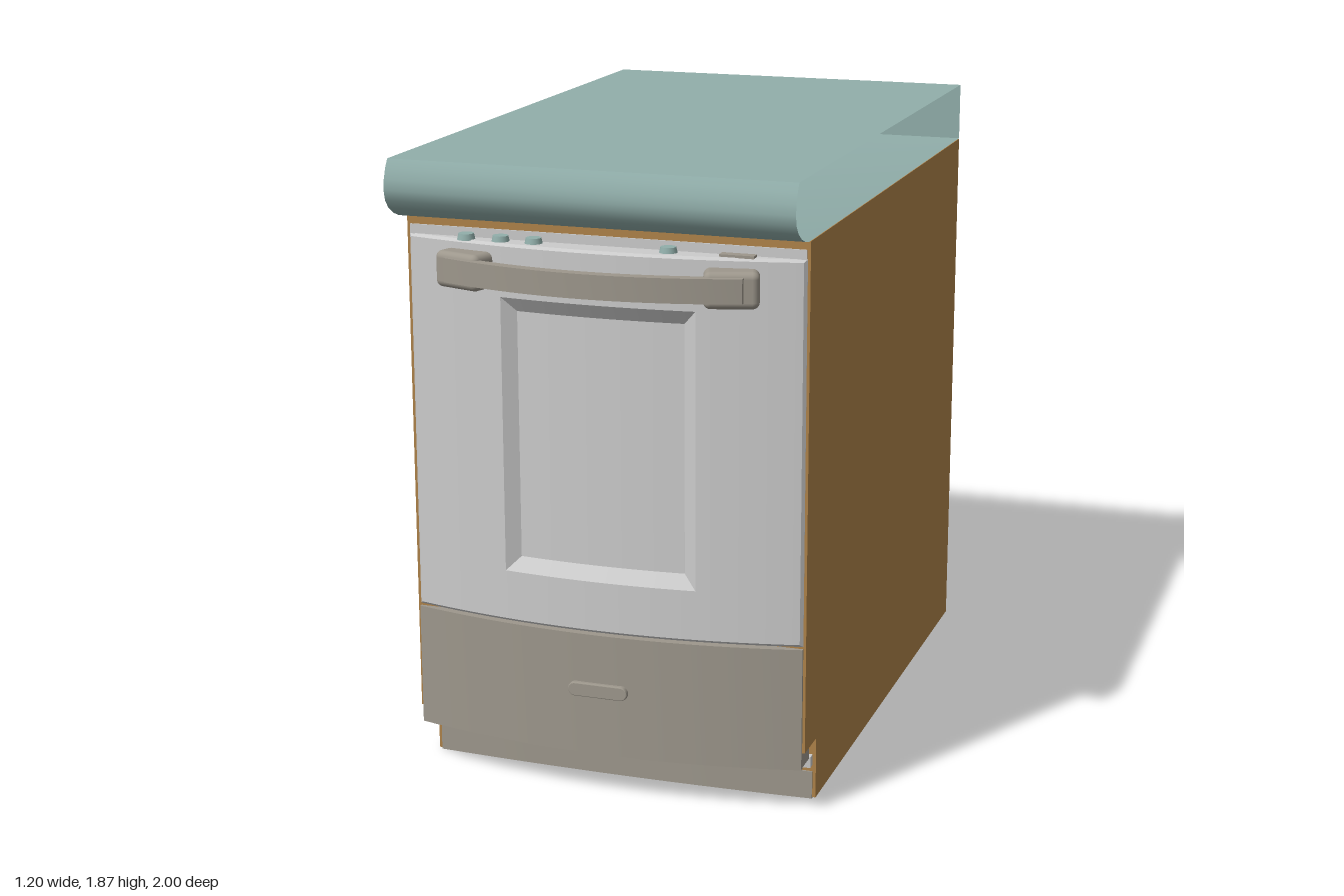
import * as THREE from 'three';
import { toCreasedNormals } from 'three/addons/utils/BufferGeometryUtils.js';
import { RoundedBoxGeometry } from 'three/addons/geometries/RoundedBoxGeometry.js';
import { ParametricGeometry } from 'three/addons/geometries/ParametricGeometry.js';

const paint = (color) => new THREE.MeshStandardMaterial({ color, side: THREE.DoubleSide });
const grey = paint(0xcccccc), steel = paint(0x9d978c), teal = paint(0x91aeaa), wood = paint(0xae8249);

// Bowed front shared by the door and the drawer
const bow = (x) => 0.892 - 0.21 * x * x;

function add(parent, name, geometry, material, x = 0, y = 0, z = 0) {
  const mesh = new THREE.Mesh(geometry, material);
  mesh.name = name;
  mesh.position.set(x, y, z);
  parent.add(mesh);
  return mesh;
}

// Solid standing from y0 to y1 whose front and back follow functions of x
function bowedSolid(halfWidth, y0, y1, front, back) {
  const n = 24, points = [];
  for (let i = 0; i <= n; i++) {
    const x = halfWidth * (2 * i / n - 1);
    points.push(new THREE.Vector2(x, -front(x)));
  }
  for (let i = n; i >= 0; i--) {
    const x = halfWidth * (2 * i / n - 1);
    points.push(new THREE.Vector2(x, -back(x)));
  }
  const geometry = new THREE.ExtrudeGeometry(new THREE.Shape(points), { depth: y1 - y0, bevelEnabled: false });
  geometry.rotateX(-Math.PI / 2).translate(0, y0, 0);
  return toCreasedNormals(geometry, 0.5);
}

// Four-sided ring of sheets between two rectangles {w, y0, y1, z(x)}
function ring(parent, name, a, b, material) {
  const corners = (r) => [[-r.w, r.y0], [r.w, r.y0], [r.w, r.y1], [-r.w, r.y1]];
  const ca = corners(a), cb = corners(b), mix = THREE.MathUtils.lerp;
  for (let k = 0; k < 4; k++) {
    const j = (k + 1) % 4;
    const geometry = new ParametricGeometry((u, v, p) => {
      const ax = mix(ca[k][0], ca[j][0], u), ay = mix(ca[k][1], ca[j][1], u);
      const bx = mix(cb[k][0], cb[j][0], u), by = mix(cb[k][1], cb[j][1], u);
      const x = mix(ax, bx, v);
      const z = mix(a.z(x), b.z(x), v);
      p.set(x, mix(ay, by, v), z);
    }, 20, 8);
    add(parent, name, geometry, material);
  }
}

function makeCabinet() {
  const side = [[-1, 0.003], [0.69, 0.003], [0.69, 0.19], [0.81, 0.19], [0.81, 1.688], [-1, 1.688]];
  const shape = new THREE.Shape(side.map(([z, y]) => new THREE.Vector2(z, y)));
  const geometry = new THREE.ExtrudeGeometry(shape, { depth: 1.2, bevelEnabled: false });
  return geometry.rotateY(-Math.PI / 2).translate(0.6, 0, 0);
}

// Hollow worktop shell, open at both ends, with a rounded nose
function makeWorktop() {
  const profile = [[-1, 1.69], [-1, 1.87], [0.93, 1.87], [0.945, 1.845], [0.956, 1.815], [0.96, 1.785],
    [0.952, 1.755], [0.932, 1.73], [0.9, 1.71], [0.865, 1.697], [0.83, 1.69], [-1, 1.69]];
  const geometry = new THREE.PlaneGeometry(1.2, 1, 1, profile.length - 1);
  const p = geometry.attributes.position;
  for (let i = 0; i < p.count; i++) {
    const [z, y] = profile[Math.floor(i / 2)];
    p.setXYZ(i, -p.getX(i), y, z);
  }
  return toCreasedNormals(geometry, 0.6);
}

function makeDoor() {
  const door = new THREE.Group();
  door.name = 'ovenDoor';
  const y0 = 0.515, y1 = 1.637, r = 0.008;
  const back = { w: 0.592, y0, y1, z: () => 0.805 };
  const rim = { w: 0.592, y0, y1, z: (x) => bow(x) - r };
  const face = { w: 0.592 - r, y0: y0 + r, y1: y1 - r, z: bow };
  const opening = { w: 0.29, y0: 0.67, y1: 1.483, z: bow };
  const recess = (x) => bow(x) - 0.03;
  const pane = { w: 0.25, y0: 0.71, y1: 1.44, z: recess };
  ring(door, 'doorEdge', back, rim, grey);
  ring(door, 'doorRoundedEdge', rim, face, grey);
  ring(door, 'doorFace', face, opening, grey);
  ring(door, 'windowBevel', opening, pane, grey);
  const glass = new ParametricGeometry((u, v, p) => {
    const x = (u - 0.5) * 2 * pane.w;
    p.set(x, THREE.MathUtils.lerp(pane.y0, pane.y1, v), recess(x));
  }, 20, 1);
  add(door, 'windowPane', glass, grey);
  return door;
}

function makeHandle() {
  const handle = new THREE.Group();
  handle.name = 'doorHandle';
  const front = (x) => 1 - 0.4 * x * x;
  add(handle, 'handleBar', bowedSolid(0.44, 1.525, 1.595, front, (x) => front(x) - 0.035), steel);
  for (const s of [-1, 1]) {
    const bracket = new RoundedBoxGeometry(0.155, 0.105, 0.09, 3, 0.02);
    add(handle, 'handleBracket', bracket, steel, s * 0.395, 1.557, 0.876).rotation.y = s * 0.3;
  }
  return handle;
}

// Pill-shaped pull on the drawer
function makePull() {
  const shape = new THREE.Shape();
  shape.absarc(0.07, 0, 0.021, -Math.PI / 2, Math.PI / 2);
  shape.absarc(-0.07, 0, 0.021, Math.PI / 2, Math.PI * 1.5);
  return new THREE.ExtrudeGeometry(shape, {
    depth: 0.015, bevelThickness: 0.004, bevelSize: 0.003, bevelOffset: -0.003, bevelSegments: 2, curveSegments: 10
  });
}

export function createModel() {
  const model = new THREE.Group();
  model.name = 'ovenCabinet';

  add(model, 'cabinet', makeCabinet(), wood);
  add(model, 'worktop', makeWorktop(), teal);
  add(model, 'basePlate', new THREE.BoxGeometry(1.18, 0.006, 1.67), steel, 0, 0.003, -0.15);

  model.add(makeDoor(), makeHandle());

  // Control strip with knobs and a display on top of the door
  add(model, 'controlStrip', new THREE.BoxGeometry(1.18, 0.028, 0.012), grey, 0, 1.65, 0.809);
  for (const x of [-0.405, -0.3, -0.2, 0.2]) {
    add(model, 'knob', new THREE.CylinderGeometry(0.022, 0.026, 0.018, 20), teal, x, 1.644, 0.839);
  }
  add(model, 'display', new THREE.BoxGeometry(0.1, 0.008, 0.03), steel, 0.4, 1.64, 0.835);

  // Drawer and the trims below it
  add(model, 'drawer', bowedSolid(0.592, 0.14, 0.508, bow, () => 0.805), steel);
  add(model, 'drawerPull', makePull(), steel, 0, 0.34, 0.886);
  add(model, 'drawerBase', new THREE.BoxGeometry(1.18, 0.049, 0.08), steel, 0, 0.165, 0.77);
  add(model, 'lowerRail', bowedSolid(0.59, 0.105, 0.138, (x) => 0.77 - 0.16 * x * x, () => 0.685), grey);
  add(model, 'kickPlate', bowedSolid(0.59, 0, 0.085, (x) => 0.712 - 0.05 * x * x, () => 0.68), steel);

  return model;
}
